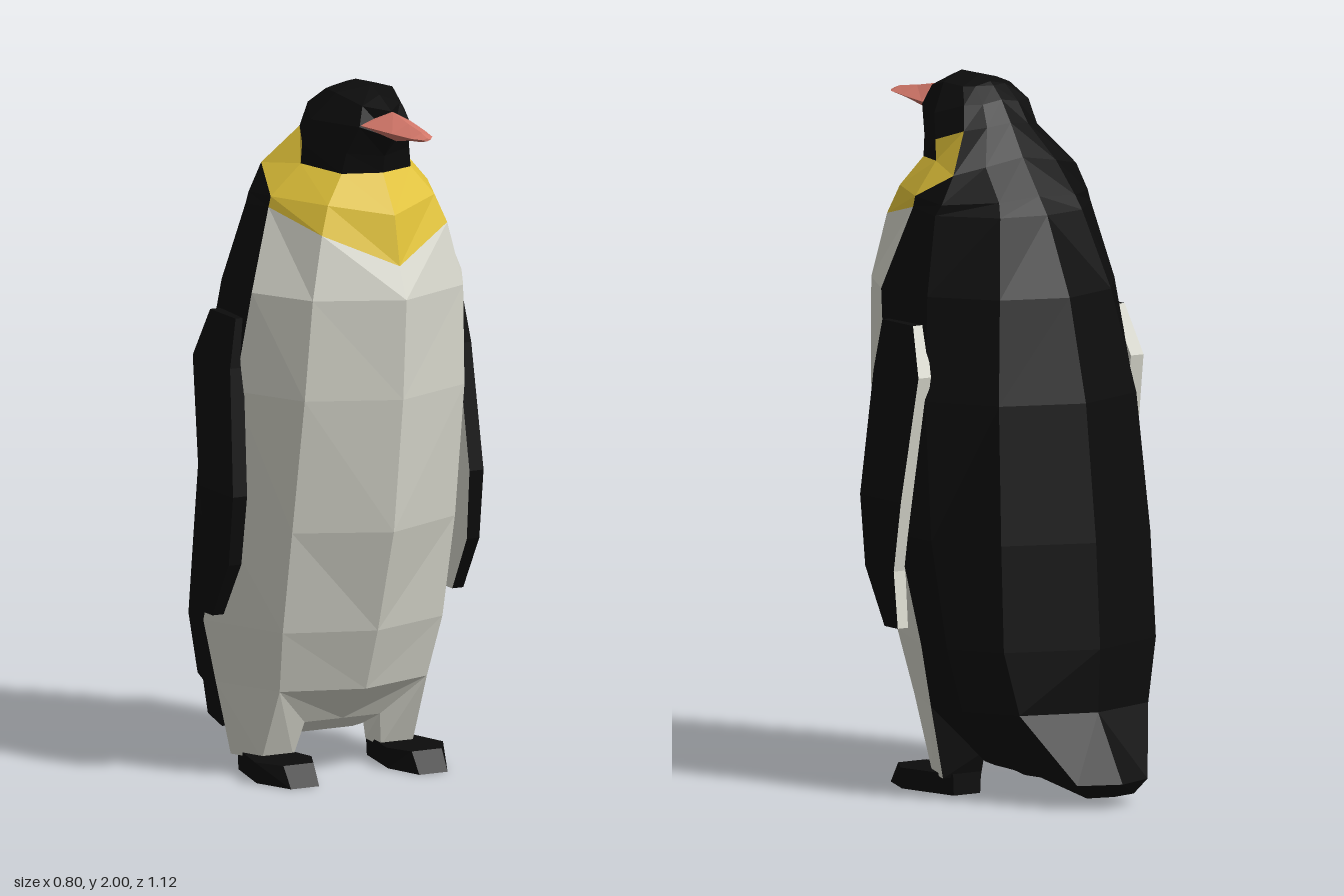
import * as THREE from 'three';

const mat = (name, color) => {
  const m = new THREE.MeshStandardMaterial({ color });
  m.name = name;
  return m;
};

export function createModel() {
  const materials = [
    mat('black', 0x0c0c0c), mat('white', 0xdadacf),
    mat('yellow', 0xe3c43a), mat('coral', 0xd4786a),
  ];
  const LETTERS = 'BWYC';
  const model = new THREE.Group();
  model.name = 'penguin';

  // Faceted mesh from per-colour triangle lists
  function facetMesh(name, lists) {
    const geo = new THREE.BufferGeometry();
    const used = [], pos = [];
    lists.forEach((list, i) => {
      if (!list.length) return;
      geo.addGroup(pos.length / 3, list.length, used.length);
      used.push(materials[i]);
      for (const p of list) pos.push(...p);
    });
    geo.setAttribute('position', new THREE.Float32BufferAttribute(pos, 3));
    geo.computeVertexNormals();
    const mesh = new THREE.Mesh(geo, used);
    mesh.name = name;
    return mesh;
  }

  // Joins rings (bottom to top, front round to the left side and back).
  // codes: one letter per column for each row; S is half black, half yellow.
  function loft(rings, codes, { closed = false, sides = [1], cap = null } = {}) {
    const lists = [[], [], [], []];
    for (const s of sides) {
      const put = (code, a, b, c) => {
        const tri = [a, b, c].map(([x, y, z]) => [x * s, y, z]);
        if (s < 0) tri.reverse();
        lists[LETTERS.indexOf(code)].push(...tri);
      };
      for (let r = 0; r + 1 < rings.length; r++) {
        const a = rings[r], b = rings[r + 1], n = a.length;
        for (let i = 0; i < (closed ? n : n - 1); i++) {
          const j = (i + 1) % n, c = codes[r % codes.length][i];
          put(c === 'S' ? 'B' : c, a[i], a[j], b[j]);
          put(c === 'S' ? 'Y' : c, a[i], b[j], b[i]);
        }
      }
      if (cap) {
        const lo = rings[0], hi = rings[rings.length - 1];
        for (let i = 1; i + 1 < lo.length; i++) {
          put(cap, lo[0], lo[i + 1], lo[i]);
          put(cap, hi[0], hi[i], hi[i + 1]);
        }
      }
    }
    return lists;
  }

  const toMiddle = (ring) => ring.map(([x, y, z]) => [0, y, z]);

  // Underside and tail
  const under = [[0, .15, .06], [.11, .15, .05], [.13, .08, -.12], [.13, .08, -.3], [.08, .03, -.5], [0, .03, -.52]];
  const hem = [[0, .15, .06], [.12, .15, .06], [.15, .09, -.1], [.17, .09, -.24], [.12, .07, -.51], [0, .07, -.56]];

  // Torso: height, front z, four side points (x, z), back z
  const torso = [
    [.26, .2, .235, .125, .325, -.085, .31, -.22, .22, -.37, -.44],
    [.44, .27, .255, .18, .362, -.09, .35, -.2, .26, -.35, -.45],
    [.74, .365, .26, .245, .365, .02, .362, -.14, .255, -.33, -.43],
    [1.13, .42, .255, .31, .36, .09, .355, -.1, .235, -.29, -.38],
    [1.42, .44, .24, .33, .335, .145, .32, -.06, .19, -.23, -.3],
  ].map(([y, f, x1, z1, x2, z2, x3, z3, x4, z4, b]) =>
    [[0, y, f], [x1, y, z1], [x2, y, z2], [x3, y, z3], [x4, y, z4], [0, y, b]]);

  // Collar and neck
  const collar = [
    [[0, 1.51, .4], [.2, 1.6, .31], [.257, 1.65, .1], [.265, 1.64, -.02], [.14, 1.64, -.16], [0, 1.64, -.19]],
    [[0, 1.65, .37], [.17, 1.68, .29], [.25, 1.68, .1], [.25, 1.67, -.03], [.13, 1.68, -.14], [0, 1.69, -.15]],
    [[0, 1.76, .3], [.11, 1.76, .26], [.165, 1.77, .12], [.21, 1.75, -.03], [.12, 1.77, -.06], [0, 1.79, -.07]],
  ];

  // Head
  const head = [
    [[0, 1.81, .31], [.1, 1.82, .27], [.163, 1.83, .125], [.125, 1.86, .04], [.07, 1.87, .005], [0, 1.88, -.01]],
    [[0, 1.87, .36], [.08, 1.9, .31], [.15, 1.9, .15], [.11, 1.93, .06], [.06, 1.93, .04], [0, 1.94, .035]],
    [[0, 1.945, .35], [.06, 1.955, .29], [.09, 1.978, .19], [.08, 1.975, .11], [.05, 1.975, .09], [0, 1.975, .075]],
  ];
  const crown = [[0, 1.945, .35], [0, 1.98, .28], [0, 2, .23], [0, 2, .14], [0, 1.985, .09], [0, 1.975, .075]];

  const bodyRings = [toMiddle(under), under, hem, ...torso, ...collar, ...head, crown];
  const bodyCodes = [
    'WWBBB', 'WWBBB', 'WWBBB',
    'WWBBB', 'WWBBB', 'WWBBB', 'WWBBB', 'WWBBB',
    'YYBBB', 'YYSBB', 'BBYBB', 'BBBBB', 'BBBBB', 'BBBBB',
  ];
  model.add(facetMesh('body', loft(bodyRings, bodyCodes, { sides: [1, -1] })));

  // Beak: diamond sections from tip to base
  const beakRings = [
    [.012, 1.907, 1.898, .56, .56, .56],
    [.033, 1.917, 1.889, .53, .53, .52],
    [.052, 1.928, 1.88, .45, .45, .45],
    [.078, 1.945, 1.865, .36, .315, .38],
    [.05, 1.93, 1.875, .28, .26, .3],
  ].map(([w, top, bottom, zt, zs, zb]) => {
    const y = (top + bottom) / 2;
    return [[0, top, zt], [-w, y, zs], [0, bottom, zb], [w, y, zs]];
  }).reverse();
  model.add(facetMesh('beak', loft(beakRings, ['CCCC'], { closed: true, cap: 'C' })));

  // Flippers: height, front z, back z, outer x, inner x
  const flipperRings = [
    [.48, .035, -.03, .4, .365],
    [.64, .13, -.01, .4, .36],
    [.84, .155, -.045, .4, .355],
    [1.2, .11, -.11, .385, .342],
    [1.34, .1, -.05, .362, .32],
  ].map(([y, f, b, o, i]) => [[i, y, f], [o, y, f], [o, y, b], [i, y, b]]);

  // Legs
  const legRings = [
    [[.14, .05, .03], [.24, .05, .03], [.28, .05, -.08], [.15, .05, -.08]],
    [[.12, .15, .06], [.235, .26, .125], [.325, .26, -.085], [.15, .12, -.1]],
  ];

  // Feet
  const sole = [[.16, 0, .22], [.25, 0, .22], [.295, 0, .1], [.25, 0, -.09], [.16, 0, -.09], [.125, 0, .1]];
  const instep = sole.map(([x, , z]) => [.21 + (x - .21) * 1.06, .06, z > .2 ? .18 : z]);

  for (const [side, s] of [['left', 1], ['right', -1]]) {
    const sides = [s];
    model.add(
      facetMesh(side + 'Flipper', loft(flipperRings, ['BBWW'], { closed: true, sides, cap: 'B' })),
      facetMesh(side + 'Leg', loft(legRings, ['WWBW'], { closed: true, sides })),
      facetMesh(side + 'Foot', loft([sole, instep], ['BBBBBB'], { closed: true, sides, cap: 'B' })),
    );
  }
  return model;
}
